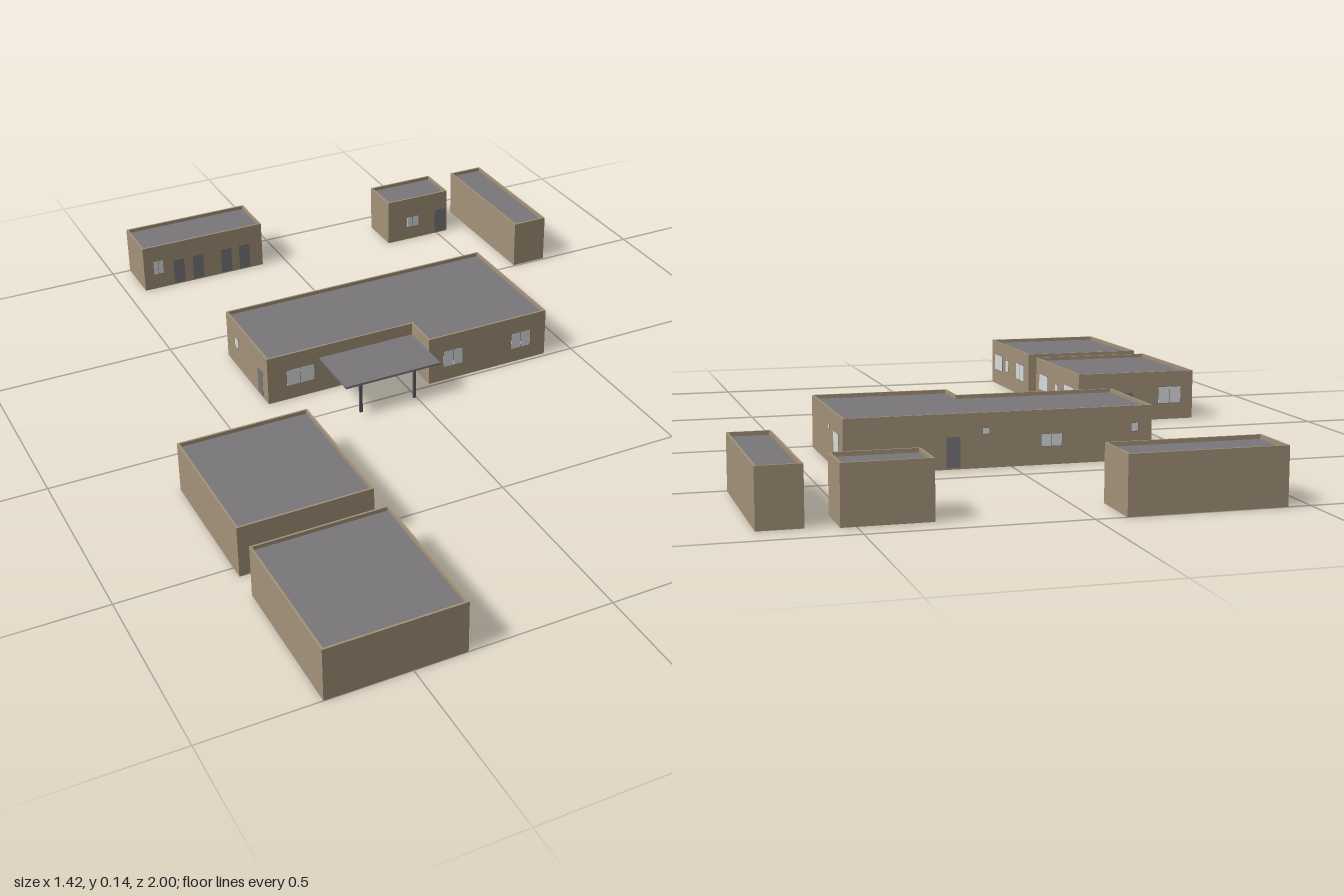
import * as THREE from 'three';

const mat = (name, color) => {
  const m = new THREE.MeshStandardMaterial({ color });
  m.name = name;
  return m;
};

const HEIGHT = 0.137, WALL = 0.005;

export function createModel() {
  const wallMat = mat('tan wall', 0xa4937a);
  const roofMat = mat('grey roof', 0x7a777b);
  const ceilingMat = mat('light ceiling', 0xc4c5c5);
  const glassMat = mat('pale glass', 0xdcdfe0);
  const postMat = mat('dark post', 0x5e5e62);
  const doorMat = mat('grey door', 0x78777a);
  const model = new THREE.Group();
  model.name = 'buildingComplex';

  const box = (parent, name, material, w, h, d, x, y, z) => {
    const m = new THREE.Mesh(new THREE.BoxGeometry(w, h, d), material);
    m.name = name;
    m.position.set(x, y, z);
    parent.add(m);
  };

  // move every corner of a right-angled, counter-clockwise outline inward
  const inset = (pts, t) => pts.map((p, i) => {
    const a = pts[(i + pts.length - 1) % pts.length], b = pts[(i + 1) % pts.length];
    const d1 = p.clone().sub(a).normalize(), d2 = b.clone().sub(p).normalize();
    return new THREE.Vector2(p.x - (d1.y + d2.y) * t, p.y + (d1.x + d2.x) * t);
  });

  const slab = (parent, name, material, shape, depth, y) => {
    const g = new THREE.ExtrudeGeometry(shape, { depth, bevelEnabled: false });
    g.rotateX(-Math.PI / 2);
    const m = new THREE.Mesh(g, material);
    m.name = name;
    m.position.y = y;
    parent.add(m);
  };

  // open-bottomed wall shell with a roof set below the parapet; outline as [x, z]
  const building = (name, outline) => {
    const g = new THREE.Group();
    g.name = name;
    const pts = outline.map(([x, z]) => new THREE.Vector2(x, -z));
    const inner = inset(pts, WALL);
    const walls = new THREE.Shape(pts);
    walls.holes.push(new THREE.Path(inner));
    slab(g, 'walls', wallMat, walls, HEIGHT, 0);
    slab(g, 'roof', roofMat, new THREE.Shape(inner), 0.003, 0.124);
    slab(g, 'ceiling', ceilingMat, new THREE.Shape(inner), 0.002, 0.122);
    model.add(g);
    return g;
  };
  const rect = (x0, x1, z0, z1) => [[x0, z1], [x1, z1], [x1, z0], [x0, z0]];

  // place a group in the middle of a wall; u is x or z along it
  const onWall = (parent, name, side, plane, u) => {
    const g = new THREE.Group();
    g.name = name;
    const k = WALL / 2;
    if (side === 'front') g.position.set(u, 0, plane - k);
    if (side === 'back') g.position.set(u, 0, plane + k);
    if (side === 'left') g.position.set(plane - k, 0, u);
    if (side === 'right') g.position.set(plane + k, 0, u);
    if (side === 'left' || side === 'right') g.rotation.y = Math.PI / 2;
    parent.add(g);
    return g;
  };

  // framed glass, visible inside and outside
  const windowOn = (parent, side, plane, u0, u1, y0, y1, panes = 1) => {
    const g = onWall(parent, 'window', side, plane, (u0 + u1) / 2);
    const w = u1 - u0, h = y1 - y0, b = 0.0015, y = (y0 + y1) / 2;
    box(g, 'windowFrame', doorMat, w, h, 0.006, 0, y, 0);
    const pw = (w - b * (panes + 1)) / panes;
    for (let i = 0; i < panes; i++) {
      box(g, 'pane', glassMat, pw, h - 2 * b, 0.007, -w / 2 + b + pw / 2 + i * (pw + b), y, 0);
    }
  };
  const doorOn = (parent, side, plane, u0, u1) => {
    const g = onWall(parent, 'door', side, plane, (u0 + u1) / 2);
    box(g, 'doorLeaf', doorMat, u1 - u0, 0.076, 0.0065, 0, 0.042, 0);
  };

  // main L-shaped building
  const main = building('mainBuilding', [
    [-0.365, -0.112], [0.06, -0.112], [0.06, -0.011], [0.42, -0.011], [0.42, -0.4], [-0.365, -0.4],
  ]);
  windowOn(main, 'front', -0.112, -0.312, -0.23, 0.04, 0.09, 2);
  windowOn(main, 'front', -0.112, -0.149, -0.025, 0.02, 0.088, 2);
  windowOn(main, 'front', -0.011, 0.103, 0.163, 0.04, 0.09, 2);
  windowOn(main, 'front', -0.011, 0.312, 0.374, 0.04, 0.09, 2);
  windowOn(main, 'left', 0.42, -0.35, -0.29, 0.04, 0.092, 2);
  windowOn(main, 'left', 0.42, -0.24, -0.225, 0.086, 0.099);
  doorOn(main, 'back', -0.4, 0.13, 0.165);
  windowOn(main, 'back', -0.4, 0.055, 0.075, 0.083, 0.1);
  windowOn(main, 'back', -0.4, -0.13, -0.075, 0.045, 0.078, 2);
  windowOn(main, 'back', -0.4, -0.33, -0.31, 0.072, 0.095);
  windowOn(main, 'right', -0.365, -0.34, -0.315, 0.06, 0.09);
  doorOn(main, 'right', -0.365, -0.18, -0.148);

  // entrance canopy on two posts
  const canopy = new THREE.Group();
  canopy.name = 'canopy';
  model.add(canopy);
  box(canopy, 'canopyRoof', roofMat, 0.275, 0.006, 0.167, -0.0775, 0.1, -0.0285);
  for (const x of [-0.172, -0.016]) {
    box(canopy, 'canopyPost', postMat, 0.008, 0.084, 0.006, x, 0.056, 0.051);
  }

  // two matching halls on the front right
  const hallA = building('rearHall', rect(-0.71, -0.367, 0.152, 0.536));
  windowOn(hallA, 'left', -0.367, 0.425, 0.505, 0.045, 0.094);
  windowOn(hallA, 'left', -0.367, 0.334, 0.358, 0.048, 0.083, 2);
  windowOn(hallA, 'left', -0.367, 0.195, 0.275, 0.045, 0.094, 2);
  windowOn(hallA, 'back', 0.152, -0.467, -0.397, 0.045, 0.094, 2);
  doorOn(hallA, 'back', 0.152, -0.53, -0.497);
  windowOn(hallA, 'back', 0.152, -0.675, -0.605, 0.045, 0.094, 2);

  const hallB = building('frontHall', rect(-0.71, -0.367, 0.611, 1));
  windowOn(hallB, 'left', -0.367, 0.888, 0.968, 0.045, 0.096, 2);
  windowOn(hallB, 'left', -0.367, 0.82, 0.85, 0.052, 0.09, 2);
  windowOn(hallB, 'left', -0.367, 0.658, 0.738, 0.045, 0.096, 2);

  // small buildings at the back
  const store = building('doorRowBuilding', rect(-0.446, -0.072, -1, -0.856));
  windowOn(store, 'front', -0.856, -0.418, -0.385, 0.045, 0.09, 2);
  for (const x of [-0.338, -0.278, -0.188, -0.13]) doorOn(store, 'front', -0.856, x - 0.017, x + 0.017);

  const shed = building('shed', rect(0.332, 0.535, -0.932, -0.808));
  windowOn(shed, 'front', -0.808, 0.395, 0.437, 0.04, 0.075, 2);
  doorOn(shed, 'front', -0.808, 0.493, 0.531);

  building('longShed', rect(0.607, 0.71, -0.917, -0.505));

  return model;
}
